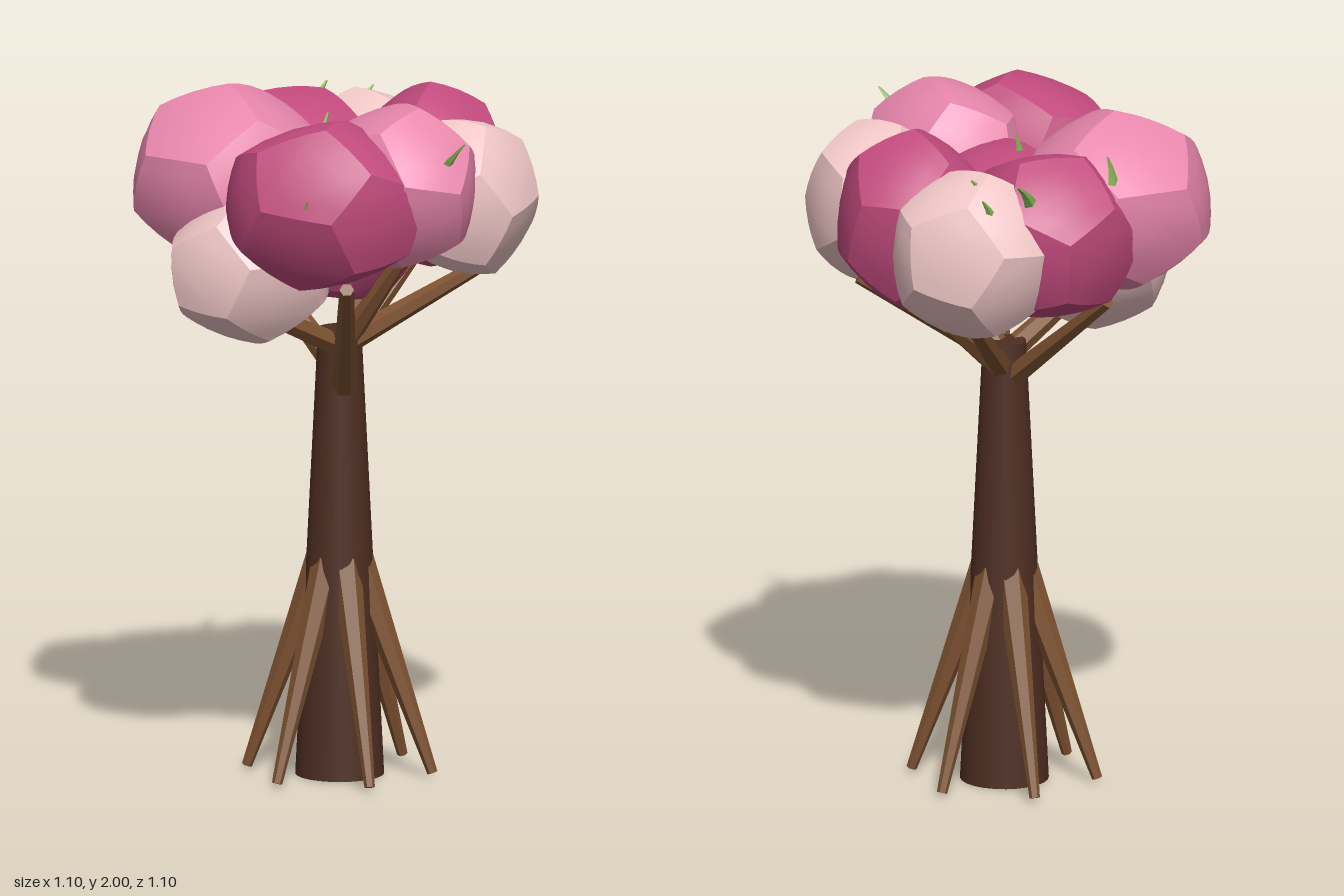
import * as THREE from 'three';
import { toCreasedNormals } from 'three/addons/utils/BufferGeometryUtils.js';

const mat = (color, extra = {}) => new THREE.MeshStandardMaterial({ color, ...extra });
const UP = new THREE.Vector3(0, 1, 0);

// Face directions of a dodecahedron
const PHI = (1 + Math.sqrt(5)) / 2;
const FACES = [];
for (const a of [-1, 1]) for (const b of [-PHI, PHI]) {
  for (const v of [[a, 0, b], [b, a, 0], [0, b, a]]) FACES.push(new THREE.Vector3(...v).normalize());
}

// Tapered rod from point a (radius ra) to point b (radius rb)
function limb(name, a, b, ra, rb, material) {
  const from = new THREE.Vector3(...a), to = new THREE.Vector3(...b);
  const dir = to.clone().sub(from);
  const mesh = new THREE.Mesh(new THREE.CylinderGeometry(rb, ra, dir.length(), 6), material);
  mesh.position.copy(from).add(to).multiplyScalar(0.5);
  mesh.quaternion.setFromUnitVectors(UP, dir.normalize());
  mesh.name = name;
  return mesh;
}

// Leaf clump: dodecahedron with bulging faces, turned, fitted to a size, then yawed into place
function clump(centre, size, yaw, turn, material) {
  const geo = new THREE.DodecahedronGeometry(1, 3);
  const p = geo.attributes.position, v = new THREE.Vector3();
  for (let i = 0; i < p.count; i++) {
    v.fromBufferAttribute(p, i).normalize();
    const flat = 0.795 / Math.max(...FACES.map((f) => f.dot(v)));
    v.multiplyScalar(THREE.MathUtils.lerp(flat, 1, 0.5));
    p.setXYZ(i, v.x, v.y, v.z);
  }
  geo.rotateX(turn[0]).rotateY(turn[1]).rotateZ(turn[2]);
  geo.computeBoundingBox();
  const box = geo.boundingBox.getSize(new THREE.Vector3());
  geo.center().scale(size[0] / box.x, size[1] / box.y, size[2] / box.z);
  const mesh = new THREE.Mesh(toCreasedNormals(geo, 0.4), material);
  mesh.position.set(...centre);
  mesh.rotation.y = yaw;
  mesh.name = 'leafClump';
  return mesh;
}

// Small flattened spike that bends towards its tip
function sprout(base, dir, material) {
  const length = 0.1;
  const geo = new THREE.CylinderGeometry(0.003, 0.02, length, 4, 3);
  geo.translate(0, length / 2, 0);
  const p = geo.attributes.position;
  for (let i = 0; i < p.count; i++) {
    const t = p.getY(i) / length;
    p.setX(i, p.getX(i) + 0.02 * t * t);
    p.setZ(i, p.getZ(i) * 0.6);
  }
  const mesh = new THREE.Mesh(geo, material);
  mesh.position.set(...base);
  mesh.quaternion.setFromUnitVectors(UP, new THREE.Vector3(...dir).normalize());
  mesh.name = 'sprout';
  return mesh;
}

export function createModel() {
  const tree = new THREE.Group();
  tree.name = 'tree';
  const bark = mat(0x4e2e22), wood = mat(0x805432, { flatShading: true });
  const green = mat(0x86b856, { flatShading: true });
  const dark = mat(0xc04a7c), pink = mat(0xe887ac), pale = mat(0xf2c8c8);
  const cx = 0.006, cz = -0.018;

  // Trunk
  const trunk = new THREE.Mesh(new THREE.CylinderGeometry(0.062, 0.127, 1.3, 24), bark);
  trunk.position.set(cx, 0.65, cz);
  trunk.name = 'trunk';
  tree.add(trunk);

  // Six prop roots around the base
  const roots = new THREE.Group();
  roots.name = 'roots';
  for (let i = 0; i < 6; i++) {
    const a = (-16.5 + 60 * i) * Math.PI / 180, c = Math.cos(a), s = Math.sin(a);
    roots.add(limb('root', [cx + 0.27 * c, 0.012, cz + 0.27 * s],
      [cx + 0.053 * c, 0.63, cz + 0.053 * s], 0.015, 0.045, wood));
  }
  tree.add(roots);

  // Branches: start and tip
  const branches = new THREE.Group();
  branches.name = 'branches';
  [
    [[-0.01, 1.14, 0.03], [-0.25, 1.52, 0.43]],
    [[0.02, 1.26, 0], [0.36, 1.49, 0.2]],
    [[0.02, 1.22, -0.03], [0.33, 1.48, -0.11]],
    [[0.02, 1.22, -0.03], [0.33, 1.5, -0.33]],
    [[0.01, 1.26, 0], [0.07, 1.52, 0.2]],
    [[0, 1.19, -0.04], [-0.07, 1.51, -0.45]],
    [[0, 1.25, -0.01], [-0.49, 1.48, 0.1]],
  ].forEach(([a, b]) => branches.add(limb('branch', a, b, 0.036, 0.021, wood)));
  tree.add(branches);

  // Crown: centre, size, yaw, facet rotation, colour
  const crown = new THREE.Group();
  crown.name = 'crown';
  const q = Math.PI / 4, peak = [-0.785, 0, 0.615];
  [
    [[0.02, 1.765, 0.275], [0.46, 0.47, 0.53], 0, [0.35, 0.2, 0.3], pink],
    [[-0.23, 1.735, 0.27], [0.58, 0.49, 0.41], -q, [0.5, 0.2, 0.4], dark],
    [[-0.23, 1.735, -0.235], [0.6, 0.53, 0.55], q, peak, pink],
    [[0.045, 1.69, -0.315], [0.53, 0.49, 0.48], 0, [0.9, 0.3, 0.2], dark],
    [[0.295, 1.67, -0.3], [0.48, 0.49, 0.37], -q, [0.1, 0.4, 0.6], pale],
    [[0.32, 1.71, -0.03], [0.45, 0.54, 0.44], 0, peak, dark],
    [[0.285, 1.695, 0.23], [0.48, 0.46, 0.4], q, [0.4, 0.1, 0.7], pale],
    [[-0.305, 1.515, 0.0], [0.49, 0.45, 0.43], 0, [0.3, 0.3, 0.5], pale],
    [[0.02, 1.63, -0.025], [0.48, 0.5, 0.47], 0, [0.6, 0.4, 0.9], dark],
  ].forEach((c) => crown.add(clump(...c)));
  tree.add(crown);

  // Green sprouts poking out of the crown
  const sprouts = new THREE.Group();
  sprouts.name = 'sprouts';
  [
    [[0.05, 1.85, 0.48], [0.1, 0.8, 0.6]],
    [[-0.35, 1.7, 0.37], [-0.4, 0.8, 0.4]],
    [[0.19, 1.84, -0.45], [0.5, 0.8, -0.4]],
    [[0.27, 1.83, -0.36], [0.4, 0.8, 0]],
    [[0.3, 1.79, -0.43], [0.3, 0.8, -0.2]],
    [[-0.09, 1.84, -0.45], [0, 1, 0]],
    [[-0.02, 1.82, -0.07], [0, 1, 0]],
  ].forEach(([b, d]) => sprouts.add(sprout(b, d, green)));
  tree.add(sprouts);
  return tree;
}
